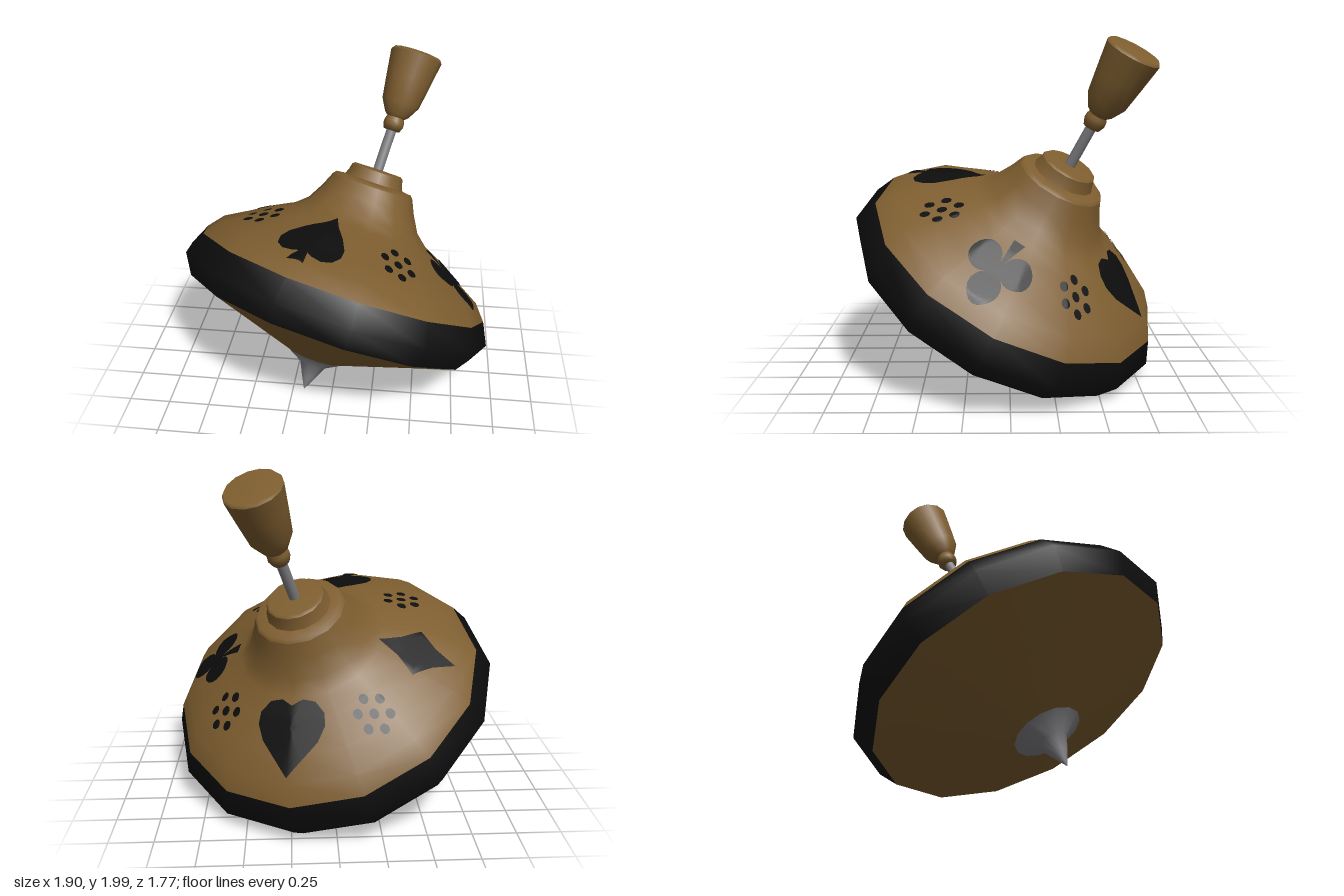
import * as THREE from 'three';

const SIDES = 14;
const material = (name, color, side = THREE.FrontSide) => {
  const m = new THREE.MeshStandardMaterial({ color, side });
  m.name = name;
  return m;
};

// Profiles are [radius, height along the spinning axis]
const FLANK = [[0.92, 0.79], [0.84, 0.885], [0.7, 0.965], [0.54, 1.06], [0.43, 1.115], [0.36, 1.175], [0.3, 1.28], [0.262, 1.365]];

// Height of the faceted flank above a point of the plane across the axis
function flankHeight(x, z) {
  const step = (Math.PI * 2) / SIDES;
  const mid = (Math.floor(Math.atan2(x, z) / step) + 0.5) * step;
  const r = (x * Math.sin(mid) + z * Math.cos(mid)) / Math.cos(step / 2);
  let i = 0;
  while (i < FLANK.length - 2 && r < FLANK[i + 1][0]) i++;
  const [[r0, t0], [r1, t1]] = [FLANK[i], FLANK[i + 1]];
  return t0 + ((r - r0) / (r1 - r0)) * (t1 - t0);
}

// Closed smooth or straight outline in (across, outward) coordinates
const circle = (u, v, r, n = 20) => Array.from({ length: n }, (_, i) => {
  const a = (i / n) * Math.PI * 2;
  return [u + r * Math.cos(a), v + r * Math.sin(a)];
});
// Mirrors a half outline that starts and ends on the centre line
const mirrored = (half) => half.concat(half.slice(1, -1).reverse().map(([u, v]) => [-u, v]));
// Adds points along each side, so that the plate follows the facets
const refine = (pts, n = 4) => pts.flatMap((p, i) => {
  const q = pts[(i + 1) % pts.length];
  return Array.from({ length: n }, (_, k) => [p[0] + ((q[0] - p[0]) * k) / n, p[1] + ((q[1] - p[1]) * k) / n]);
});

// Thin painted patch laid over the flank: rings shrinking toward a centre
function paint(outline, cu, cv, angle, mat, name) {
  const rings = 8, n = outline.length, pos = [], index = [];
  const s = Math.sin(angle), c = Math.cos(angle);
  for (let k = 0; k <= rings; k++) {
    for (const [pu, pv] of outline) {
      const u = cu + ((pu - cu) * k) / rings, v = cv + ((pv - cv) * k) / rings;
      const x = v * s + u * c, z = v * c - u * s;
      pos.push(x, flankHeight(x, z) + 0.006, z);
    }
  }
  for (let k = 0; k < rings; k++) {
    for (let i = 0; i < n; i++) {
      const a = k * n + i, b = k * n + ((i + 1) % n);
      index.push(a, a + n, b + n, a, b + n, b);
    }
  }
  const g = new THREE.BufferGeometry();
  g.setAttribute('position', new THREE.Float32BufferAttribute(pos, 3));
  g.setIndex(index);
  g.computeVertexNormals();
  const mesh = new THREE.Mesh(g, mat);
  mesh.name = name;
  return mesh;
}

export function createModel() {
  const wood = material('brown wood', 0x7d5d2f);
  const black = material('black paint', 0x0d0d0d);
  const blackPatch = material('black patch paint', 0x0d0d0d, THREE.DoubleSide);
  const metal = material('grey metal', 0x808084);

  const top = new THREE.Group();
  top.name = 'spinningTop';
  const turn = (name, mat, profile) => {
    const pts = profile.map(([r, t]) => new THREE.Vector2(r, t));
    const mesh = new THREE.Mesh(new THREE.LatheGeometry(pts, SIDES), mat);
    mesh.name = name;
    top.add(mesh);
  };

  // Body
  turn('spike', metal, [[0, 0], [0.045, 0.09], [0.085, 0.175], [0.2, 0.245]]);
  turn('lowerBody', wood, [[0.2, 0.245], [0.45, 0.345], [0.7, 0.445], [0.915, 0.53]]);
  turn('rimBand', black, [[0.915, 0.53], [0.985, 0.655], [0.92, 0.79]]);
  turn('upperBody', wood, FLANK);
  turn('shoulder', wood, [[0.262, 1.365], [0.245, 1.385], [0.18, 1.392]]);
  turn('collar', wood, [[0.19, 1.385], [0.175, 1.42], [0.165, 1.46]]);
  turn('collarTop', wood, [[0.165, 1.46], [0.15, 1.473], [0, 1.475]]);

  // Pump rod and handle
  turn('rod', metal, [[0.031, 1.46], [0.031, 1.75]]);
  turn('handleBead', wood, [[0, 1.725], [0.05, 1.73], [0.064, 1.765], [0.062, 1.79], [0.052, 1.82]]);
  turn('handleGrip', wood, [[0.052, 1.81], [0.075, 1.83], [0.118, 1.905], [0.14, 2.05], [0.162, 2.205]]);
  turn('handleTop', wood, [[0.162, 2.205], [0.15, 2.222], [0, 2.224]]);

  // Four painted card symbols, a quarter turn apart
  const first = -0.466;
  const add = (name, outline, cu, cv, angle) => top.add(paint(outline, cu, cv, angle, blackPatch, name));
  const quarter = (i) => first + (i * Math.PI) / 2;

  const spade = mirrored([[0, 0.41], [0.05, 0.48], [0.12, 0.55], [0.175, 0.62], [0.19, 0.68], [0.17, 0.74], [0.12, 0.775], [0.06, 0.775], [0, 0.755]]);
  add('spade', refine(spade, 2), 0, 0.66, quarter(0));
  add('spadeStem', refine([[-0.018, 0.74], [0.018, 0.74], [0.05, 0.84], [-0.05, 0.84]]), 0, 0.8, quarter(0));

  for (const [u, v] of [[-0.075, 0.61], [0.125, 0.61], [0.025, 0.755]]) {
    add('clubLeaf', circle(u, v, 0.088), u, v, quarter(1));
  }
  add('clubCentre', circle(0.025, 0.655, 0.06), 0.025, 0.655, quarter(1));
  add('clubStem', refine([[0.015, 0.6], [0.035, 0.6], [0.07, 0.455], [0.0, 0.455]]), 0.025, 0.52, quarter(1));

  const heart = mirrored([[0, 0.47], [0.06, 0.435], [0.13, 0.44], [0.185, 0.49], [0.195, 0.55], [0.16, 0.63], [0.08, 0.72], [0, 0.81]]);
  add('heart', refine(heart, 2), 0, 0.58, quarter(2));

  const diamond = mirrored([[0, 0.41], [0.07, 0.52], [0.165, 0.61], [0.07, 0.7], [0, 0.81]]);
  add('diamond', refine(diamond, 3), 0, 0.61, quarter(3));

  // Rosettes of seven dots between the symbols
  for (let i = 0; i < 4; i++) {
    for (let k = 0; k < 7; k++) {
      const a = (k * Math.PI) / 3, d = k === 6 ? 0 : 0.085;
      const u = d * Math.sin(a), v = 0.625 + d * Math.cos(a);
      add('rosetteDot', circle(u, v, 0.026, 10), u, v, quarter(i + 0.5));
    }
  }

  // Lean the whole top on its spike and rim
  const up = new THREE.Vector3(0.27, 0.86, -0.432).normalize();
  const front = new THREE.Vector3(0.184, 0.394, 0.9);
  const side = new THREE.Vector3().crossVectors(up, front).normalize();
  front.crossVectors(side, up);
  top.quaternion.setFromRotationMatrix(new THREE.Matrix4().makeBasis(side, up, front));
  top.position.set(-0.18, 0.008, 0.29);

  const model = new THREE.Group();
  model.name = 'leaningSpinningTop';
  model.add(top);
  return model;
}
